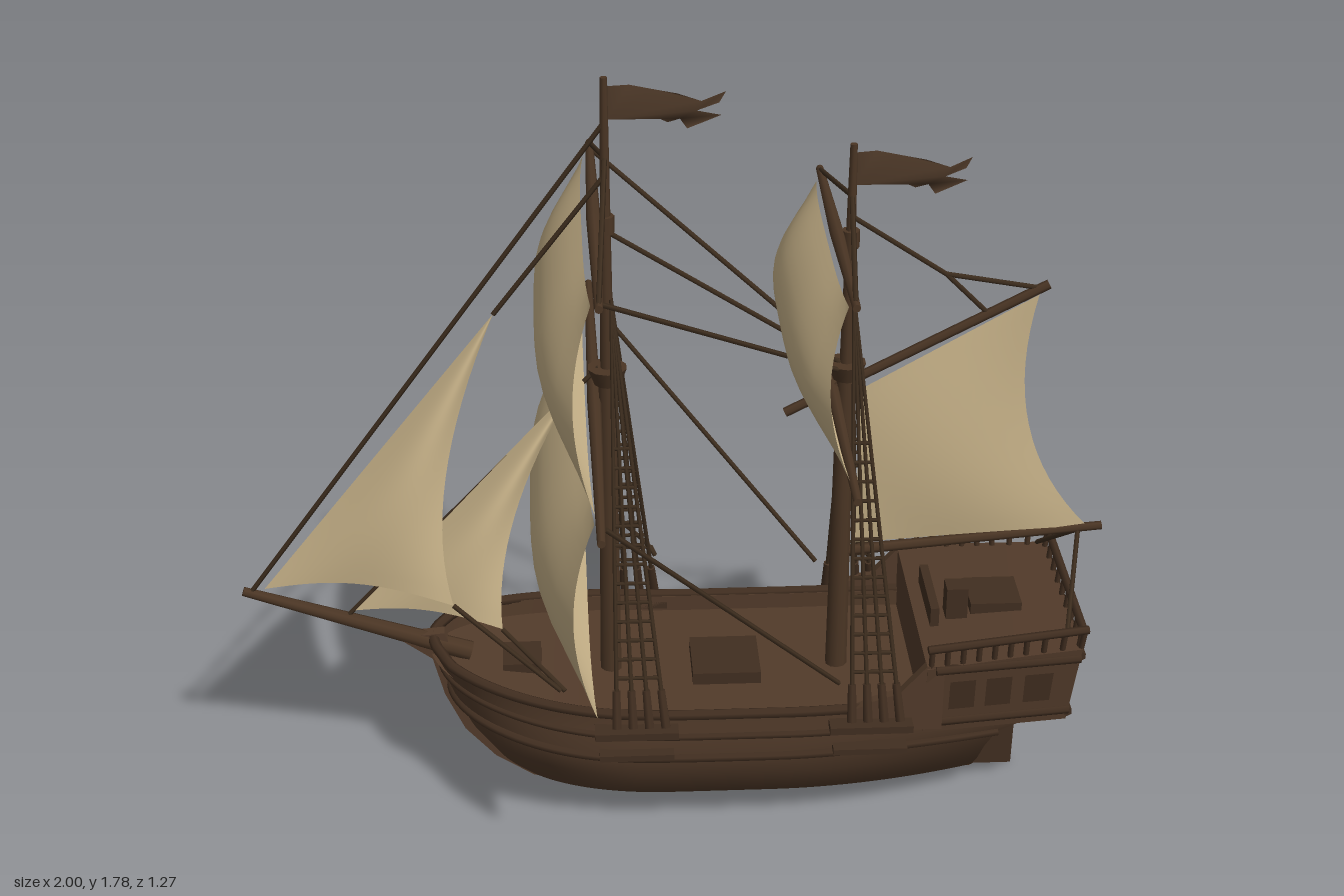
import * as THREE from 'three';
import { mergeGeometries, toCreasedNormals } from 'three/addons/utils/BufferGeometryUtils.js';

const V = (x, y, z = 0) => new THREE.Vector3(x, y, z);
const { lerp, clamp } = THREE.MathUtils;
const mat = (name, color, side = THREE.FrontSide) => {
  const m = new THREE.MeshStandardMaterial({ color, side });
  m.name = name;
  return m;
};

// piecewise-linear lookup in rows of [key, value]
function look(rows, k) {
  let i = 1;
  while (i < rows.length - 1 && k > rows[i][0]) i++;
  const [a, b] = [rows[i - 1], rows[i]];
  return lerp(a[1], b[1], clamp((k - a[0]) / (b[0] - a[0]), 0, 1));
}

// surface from a function of column i and row j
function grid(nu, nv, fn) {
  const pos = [], idx = [];
  for (let i = 0; i <= nu; i++) for (let j = 0; j <= nv; j++) pos.push(...fn(i, j).toArray());
  for (let i = 0; i < nu; i++) for (let j = 0; j < nv; j++) {
    const a = i * (nv + 1) + j, b = a + nv + 1;
    idx.push(a, b, b + 1, a, b + 1, a + 1);
  }
  const g = new THREE.BufferGeometry();
  g.setAttribute('position', new THREE.Float32BufferAttribute(pos, 3));
  g.setIndex(idx);
  g.computeVertexNormals();
  return g;
}

// tapered round bar between two points
function bar(a, b, r1, r2 = r1, sides = 6) {
  const d = b.clone().sub(a);
  const g = new THREE.CylinderGeometry(r2, r1, d.length(), sides);
  g.applyQuaternion(new THREE.Quaternion().setFromUnitVectors(V(0, 1), d.clone().normalize()));
  return g.translate(...a.clone().add(b).multiplyScalar(0.5).toArray());
}
const tube = (pts, r, n = 40, sides = 6) => new THREE.TubeGeometry(new THREE.CatmullRomCurve3(pts), n, r, sides);
const box = (w, h, d, x, y, z) => new THREE.BoxGeometry(w, h, d).translate(x, y, z);
function plate(points, depth, z) {
  const s = new THREE.Shape(points.map(p => new THREE.Vector2(...p)));
  return new THREE.ExtrudeGeometry(s, { depth, bevelEnabled: false }).translate(0, 0, z - depth / 2);
}

// hull levels: height, bow x, stern x, half width, stern narrowing
const LEVELS = [
  [0.015, -0.32, 0.70, 0.03, 0.5], [0.03, -0.35, 0.70, 0.105, 0.5], [0.055, -0.385, 0.71, 0.165, 0.45],
  [0.10, -0.435, 0.715, 0.22, 0.4], [0.17, -0.495, 0.72, 0.26, 0.28], [0.23, -0.53, 0.74, 0.277, 0.2],
  [0.285, -0.55, 0.88, 0.272, 0.2], [0.34, -0.575, 0.89, 0.272, 0.2]];
function hullPoint(k, u, side, out = 0) {
  const [y, xb, xs, w, nar] = LEVELS[k];
  const x = lerp(xb, xs, u);
  const bow = Math.sqrt(Math.max(0, 1 - (1 - Math.min(u / 0.33, 1)) ** 2));
  const stern = 1 - nar * (Math.max(0, u - 0.55) / 0.45) ** 2;
  const sheer = 0.06 * (Math.max(0, 0.05 - x) / 0.6) ** 2 + 0.015 * Math.max(0, x - 0.3) / 0.5;
  return V(x - (u < 0.02 ? out : 0), y + sheer * Math.min(1, y / 0.25), side * (w * bow * stern + out));
}

const SAIL_N = 16;
// square sail filled by wind toward the bow
const squareSail = (x, yTop, yBot, wTop, wBot, belly, rise) => grid(SAIL_N, SAIL_N, (i, j) => {
  const u = i / SAIL_N * 2 - 1, v = j / SAIL_N;
  const fill = Math.pow(Math.sin(Math.PI * (0.03 + 0.94 * v)), 0.85) * (1 - 0.62 * u ** 4);
  return V(x - belly * fill, lerp(yTop, yBot, v) + rise * v * v * (1 - u * u), u * lerp(wTop, wBot, v));
});
// fore-and-aft sail between a straight luff and a curved leech
function staySail(tack, head, clew, ctrl, peak, belly, arch) {
  const leech = new THREE.QuadraticBezierCurve3(clew, ctrl, peak);
  return grid(SAIL_N, SAIL_N, (i, j) => {
    const u = i / SAIL_N, v = j / SAIL_N;
    const p = tack.clone().lerp(head, v).lerp(leech.getPoint(v), u);
    const s = Math.sin(Math.PI * u);
    p.y += arch * s * (1 - v) ** 2;
    p.z += belly * s * Math.sin(Math.PI * (0.15 + 0.85 * v));
    return p;
  });
}

export function createModel() {
  const ship = new THREE.Group();
  ship.name = 'sailingShip';
  const wood = mat('hullWood', 0x523b2a), dark = mat('darkWood', 0x412e20);
  const spar = mat('sparWood', 0x4a3524), rope = mat('rope', 0x3d2d1e);
  const canvas = mat('canvas', 0xc6b188, THREE.DoubleSide), cloth = mat('flagCloth', 0x4a3626, THREE.DoubleSide);
  const add = (name, geos, m) => {
    const list = Array.isArray(geos) ? geos : [geos];
    const mesh = new THREE.Mesh(list.length > 1 ? mergeGeometries(list) : list[0], m);
    mesh.name = name;
    ship.add(mesh);
  };

  // hull with bulwark and deck; the last column closes the stern
  const NU = 48, top = LEVELS.length - 1;
  const half = (u, side) => {
    const rail = hullPoint(top, u, side);
    const inner = rail.clone();
    inner.z = side * Math.max(0, Math.abs(rail.z) - 0.02);
    const deck = inner.clone().setY(inner.y - 0.04);
    return [deck.clone().setZ(0), deck, inner, ...LEVELS.map((_, k) => hullPoint(top - k, u, side))];
  };
  const rings = [];
  for (let i = 0; i <= NU; i++) {
    const u = (i / NU) ** 1.4;
    rings.push([...half(u, -1), ...half(u, 1).reverse()]);
  }
  rings.push(rings[NU].map(p => p.clone().setZ(0)));
  add('hull', toCreasedNormals(grid(NU + 1, rings[0].length - 1, (i, j) => rings[i][j]), 0.7), wood);

  // wales and rail caps wrapped round the bow
  const wrap = (k, out, r) => {
    const pts = [];
    for (let i = -24; i <= 24; i++) pts.push(hullPoint(k, (Math.abs(i) / 24) ** 1.6, i < 0 ? -1 : 1, out));
    return tube(pts, r, 120);
  };
  add('wales', [wrap(5, 0, 0.011), wrap(6, 0, 0.009)], dark);
  add('gunwale', wrap(top, -0.008, 0.013), dark);

  // keel, stem and rudder
  add('keelAndStem', plate([[-0.65, 0.41], [-0.57, 0.35], [-0.545, 0.25], [-0.5, 0.15], [-0.43, 0.07], [-0.34, 0.01],
    [-0.3, 0], [0.72, 0], [0.72, 0.22], [0.6, 0.1], [-0.2, 0.06], [-0.4, 0.15], [-0.5, 0.3], [-0.54, 0.42]], 0.03, 0), wood);
  add('rudder', plate([[0.725, 0.005], [0.82, 0.005], [0.822, 0.12], [0.79, 0.175], [0.745, 0.23], [0.725, 0.23]], 0.026, 0), dark);

  // sterncastle
  const castleTop = x => look([[0.56, 0.455], [0.9, 0.475]], x);
  const castleHalf = (x, y) => lerp(0.275, 0.222, (x - 0.44) / 0.46) + (y - 0.3) * 0.12;
  const castlePoint = (x, y, side, out = 0) => V(x + Math.max(0, x - 0.8) * (y - 0.28), y, side * (castleHalf(x, y) + out));
  const stations = [0.56, 0.56, 0.68, 0.8, 0.9, 0.9];
  add('sterncastle', toCreasedNormals(grid(5, 9, (i, j) => {
    const x = stations[i], t = castleTop(x), ys = [t, t, 0.38, 0.3, 0.27];
    const k = j < 5 ? j : 9 - j;
    const p = castlePoint(x, ys[k], j < 5 ? -1 : 1);
    if (k === 0 || i === 0 || i === 5) p.z = 0;
    return p;
  }), 0.5), wood);
  for (const s of [-1, 1]) {
    const side = s > 0 ? 'left' : 'right';
    add(side + 'RampBulwark', plate([[0.4, 0.29], [0.6, 0.29], [0.6, 0.46], [0.56, 0.46], [0.5, 0.39], [0.44, 0.37], [0.4, 0.35]], 0.022, s * 0.264), wood);
    // trims, gallery panels, railing
    add(side + 'CastleTrim', [0.3, 0.45].map(y => bar(castlePoint(0.58, y, s), castlePoint(0.9, y, s), 0.011)), dark);
    const panels = [0.615, 0.7, 0.79].map(x => grid(1, 1, (i, j) => {
      const a = s > 0 ? i : 1 - i;
      return castlePoint(x + a * 0.06, 0.335 + j * 0.08, s, 0.004);
    }));
    add(side + 'GalleryPanels', panels, dark);
    const rail = [];
    for (let i = 0; i <= 9; i++) {
      const x = 0.57 + i * 0.0365;
      rail.push(bar(castlePoint(x, castleTop(x), s, -0.01), castlePoint(x, castleTop(x) + 0.045, s, -0.01), 0.007));
    }
    rail.push(bar(castlePoint(0.56, 0.505, s, -0.01), castlePoint(0.905, 0.525, s, -0.01), 0.01));
    add(side + 'PoopRail', rail, dark);
  }
  const sternRail = [bar(V(0.92, 0.52, -0.24), V(0.92, 0.52, 0.24), 0.01)];
  for (let i = -4; i <= 4; i++) sternRail.push(bar(V(0.915, 0.47, i * 0.056), V(0.92, 0.52, i * 0.056), 0.007));
  add('sternRail', sternRail, dark);
  add('transomTrim', [0.29, 0.455].map(y => bar(castlePoint(0.9, y, -1), castlePoint(0.9, y, 1), 0.012)), dark);
  add('transomPanels', [-1, 0, 1].map(n => grid(1, 1, (i, j) => {
    const y = 0.335 + j * 0.085;
    return V(0.905 + 0.1 * (y - 0.28), y, n * 0.1 + 0.035 - i * 0.07);
  })), dark);

  // deck fittings
  add('deckFittings', [box(0.16, 0.03, 0.16, 0.12, 0.315, 0), box(0.09, 0.03, 0.1, -0.36, 0.335, 0),
    box(0.02, 0.05, 0.2, 0.6, 0.48, 0), box(0.05, 0.08, 0.05, 0.655, 0.5, 0.05), box(0.12, 0.03, 0.12, 0.75, 0.475, 0)], dark);

  // masts, tops and spars
  const yard = (x, y, w) => [bar(V(x, y, 0), V(x, y, w), 0.016, 0.009, 8), bar(V(x, y, 0), V(x, y, -w), 0.016, 0.009, 8)];
  const mast = (x, h, y) => [bar(V(x, 0.28), V(x, 1.1), 0.026, 0.02, 10), bar(V(x, 1.04), V(x, h), 0.016, 0.008, 8),
    bar(V(x, 1.06), V(x, 1.1), 0.03, 0.045, 10), bar(V(x, y - 0.03), V(x, y + 0.01), 0.02, 0.02, 8)];
  add('foreMast', mast(-0.15, 1.78, 1.455), spar);
  add('aftMast', mast(0.385, 1.62, 1.41), spar);
  add('foreYards', [...yard(-0.18, 1.015, 0.635), ...yard(-0.175, 1.455, 0.455)], spar);
  add('aftYards', [...yard(0.355, 1.03, 0.515), ...yard(0.355, 1.41, 0.38)], spar);
  add('bowsprit', bar(V(-0.48, 0.36), V(-1, 0.54), 0.024, 0.011, 8), spar);
  add('gaffAndBoom', [bar(V(0.25, 0.975), V(0.83, 1.28), 0.011, 0.011), bar(V(0.4, 0.61), V(0.995, 0.66), 0.013, 0.01)], spar);

  // sails
  add('foreCourse', squareSail(-0.185, 1.0, 0.535, 0.53, 0.555, 0.145, 0.04), canvas);
  add('foreTopsail', squareSail(-0.185, 1.44, 1.035, 0.405, 0.55, 0.125, 0.03), canvas);
  add('aftTopsail', squareSail(0.35, 1.395, 1.05, 0.34, 0.46, 0.12, 0.02), canvas);
  add('gaffSail', staySail(V(0.42, 0.63), V(0.42, 1.03), V(0.96, 0.66), V(0.73, 0.9), V(0.81, 1.255), 0.03, 0.01), canvas);
  add('outerJib', staySail(V(-0.95, 0.545), V(-0.4, 1.235), V(-0.51, 0.56, 0.12), V(-0.58, 0.82, 0.06), V(-0.4, 1.235), 0.05, 0.05), canvas);
  add('innerJib', staySail(V(-0.75, 0.48), V(-0.22, 1.06), V(-0.4, 0.5, 0.13), V(-0.42, 0.74, 0.06), V(-0.22, 1.06), 0.05, 0.04), canvas);

  // ragged pennants
  for (const [name, x, y] of [['foreFlag', -0.145, 1.72], ['aftFlag', 0.39, 1.56]]) {
    const outline = [[0, 0.04], [0.05, 0.03], [0.1, 0.025], [0.15, 0.03], [0.2, 0.015], [0.255, 0.02], [0.24, 0.0], [0.19, -0.005],
      [0.245, -0.03], [0.17, -0.045], [0.155, -0.025], [0.13, -0.04], [0.08, -0.03], [0.04, -0.045], [0, -0.035]];
    const g = new THREE.ShapeGeometry(new THREE.Shape(outline.map(p => new THREE.Vector2(...p))));
    const p = g.attributes.position;
    for (let i = 0; i < p.count; i++) p.setZ(i, -0.035 * Math.sin(p.getX(i) * 26));
    g.computeVertexNormals();
    add(name, g.translate(x, y, 0), cloth);
  }

  // shrouds, ratlines and channels on both sides of each mast
  for (const [name, mx] of [['fore', -0.15], ['aft', 0.385]]) for (const s of [-1, 1]) {
    const apex = V(mx + 0.01, 1.27, s * 0.012), lines = [], feet = [];
    const foot = k => V(mx + 0.005 + k * 0.037, 0.33, s * 0.295);
    for (let k = 0; k < 4; k++) {
      lines.push(bar(foot(k), apex, 0.0055, 0.004, 5));
      feet.push(bar(foot(k), foot(k).lerp(apex, 0.09), 0.012, 0.01));
    }
    for (let t = 0.12; t < 0.68; t += 0.045) lines.push(bar(foot(0).lerp(apex, t), foot(3).lerp(apex, t), 0.0045, 0.0045, 5));
    add(name + 'Shrouds', lines, rope);
    add(name + 'Channel', [box(0.19, 0.018, 0.06, mx + 0.05, 0.315, s * 0.282), box(0.17, 0.015, 0.04, mx + 0.05, 0.25, s * 0.282)], dark);
    add(name + 'Deadeyes', feet, dark);
  }

  // stays, lifts and braces
  const lines = [[V(-0.15, 1.68), V(-0.98, 0.54)], [V(-0.15, 1.56), V(-0.4, 1.235)], [V(-0.17, 1.1), V(-0.76, 0.47)],
    [V(-0.15, 1.43), V(0.37, 1.1)], [V(0.39, 1.45), V(0.6, 1.31)], [V(0.6, 1.31), V(0.82, 1.27)], [V(0.6, 1.31), V(0.7, 1.21)],
    [V(-0.51, 0.56, 0.12), V(-0.27, 0.4, 0.24)], [V(-0.4, 0.5, 0.13), V(-0.26, 0.4, 0.24)]];
  for (const s of [-1, 1]) lines.push(
    [V(-0.15, 1.6), V(-0.175, 1.46, s * 0.44)], [V(0.385, 1.5), V(0.355, 1.415, s * 0.36)],
    [V(-0.17, 1.0, s * 0.55), V(0.36, 0.42, s * 0.27)], [V(-0.17, 1.45, s * 0.42), V(0.36, 1.1, s * 0.04)],
    [V(0.94, 0.65), V(0.89, 0.5, s * 0.2)]);
  add('standingRigging', lines.map(([a, b]) => bar(a, b, 0.006, 0.006, 5)), rope);
  add('looseRope', tube([V(-0.17, 0.56, -0.48), V(-0.15, 0.5, -0.46), V(-0.1, 0.46, -0.4), V(-0.05, 0.44, -0.34), V(-0.03, 0.41, -0.33), V(-0.04, 0.42, -0.36)], 0.006, 24), rope);
  return ship;
}
